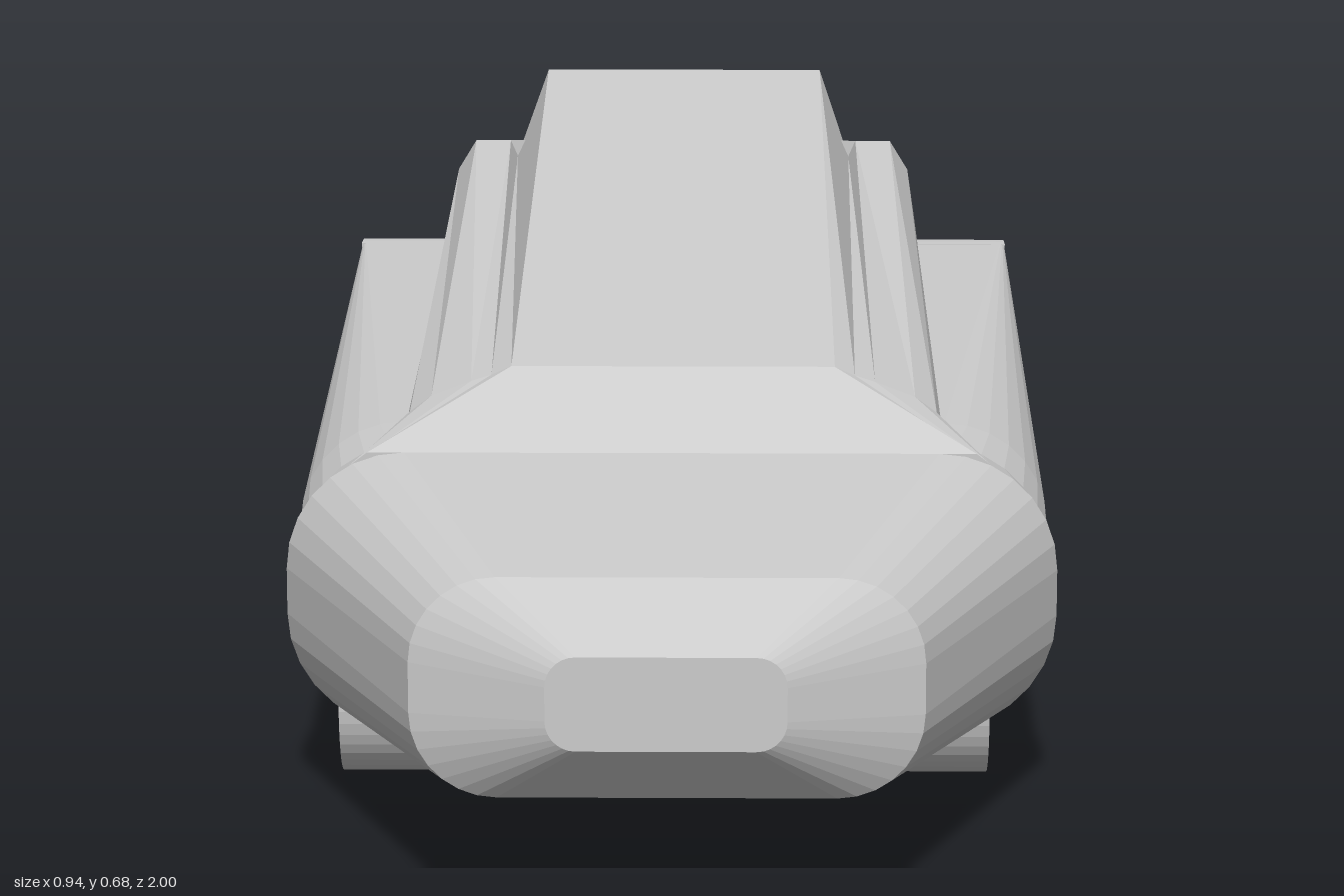
import * as THREE from 'three';

const grey = new THREE.MeshStandardMaterial({ color: 0xcccccc, flatShading: true });

// Skins mirrored half outlines (bottom to top, x > 0), ordered from back to front.
function loft(name, halves) {
  const rings = halves.map(h => [...h, ...h.slice().reverse().map(([x, y, z]) => [-x, y, z])]);
  const n = rings[0].length, index = [];
  for (let k = 0; k < rings.length - 1; k++) {
    for (let i = 0; i < n; i++) {
      const a = k * n + i, b = k * n + (i + 1) % n;
      index.push(a, b, a + n, b, b + n, a + n);
    }
  }
  // End caps run in strips from one side to the other.
  const front = (rings.length - 1) * n;
  for (let i = 0; i < n / 2 - 1; i++) {
    const a = i, b = i + 1, c = n - 2 - i, d = n - 1 - i;
    index.push(a, c, b, a, d, c);
    index.push(front + a, front + b, front + c, front + a, front + c, front + d);
  }
  const geo = new THREE.BufferGeometry();
  geo.setAttribute('position', new THREE.Float32BufferAttribute(rings.flat(2), 3));
  geo.setIndex(index);
  const flat = geo.toNonIndexed();
  flat.computeVertexNormals();
  const mesh = new THREE.Mesh(flat, grey);
  mesh.name = name;
  return mesh;
}

// Right half of a rounded rectangle at depth z.
function roundedHalf(z, halfWidth, y0, y1, r, steps = 7) {
  const pts = [];
  for (const [cy, start] of [[y0 + r, -Math.PI / 2], [y1 - r, 0]]) {
    for (let i = 0; i <= steps; i++) {
      const t = start + (i / steps) * Math.PI / 2;
      pts.push([halfWidth - r + r * Math.cos(t), cy + r * Math.sin(t), z]);
    }
  }
  return pts;
}

// Extrudes a side profile, drawn with x pointing to the rear, across the width.
function acrossWidth(name, shape, x0, x1) {
  const geo = new THREE.ExtrudeGeometry(shape, { depth: x1 - x0, bevelEnabled: false, curveSegments: 10 });
  geo.rotateY(Math.PI / 2).translate(x0, 0, 0);
  const mesh = new THREE.Mesh(geo, grey);
  mesh.name = name;
  return mesh;
}

export function createModel() {
  const group = new THREE.Group();
  group.name = 'vehicle';

  // Hull: square at the rear, rounded towards the tapered nose
  group.add(loft('hull', [
    roundedHalf(-0.86, 0.47, 0.06, 0.447, 0.006),
    roundedHalf(0.3, 0.468, 0.106, 0.433, 0.13),
    roundedHalf(0.4, 0.465, 0.104, 0.431, 0.15),
    roundedHalf(0.49, 0.47, 0.09, 0.437, 0.145),
    roundedHalf(0.93, 0.295, 0.133, 0.393, 0.1),
    roundedHalf(1, 0.137, 0.208, 0.318, 0.035),
  ]));

  // Rear: two rounded lips with a notch between them
  const rear = new THREE.Shape();
  rear.moveTo(0.84, 0.06);
  rear.lineTo(0.88, 0.06);
  rear.bezierCurveTo(0.94, 0.063, 0.99, 0.11, 1, 0.172);
  rear.lineTo(0.87, 0.215);
  rear.lineTo(0.87, 0.285);
  rear.lineTo(1, 0.33);
  rear.bezierCurveTo(0.99, 0.4, 0.94, 0.447, 0.86, 0.447);
  rear.lineTo(0.84, 0.447);
  group.add(acrossWidth('rearLips', rear, -0.47, 0.47));

  // Belly plate with rounded ends
  const belly = new THREE.Shape();
  belly.moveTo(-0.455, 0.12);
  belly.lineTo(-0.455, 0.1);
  belly.bezierCurveTo(-0.45, 0.045, -0.41, 0, -0.35, 0);
  belly.lineTo(0.81, 0);
  belly.bezierCurveTo(0.85, 0, 0.885, 0.025, 0.895, 0.07);
  belly.lineTo(0.87, 0.12);
  group.add(acrossWidth('bellyPlate', belly, -0.412, 0.392));

  // Upper deck: side bulges, rising centre with an overhanging tail, sloped front
  group.add(loft('upperDeck', [
    [[0.335, 0.4, -0.84], [0.335, 0.5, -0.832], [0.326, 0.56, -0.825], [0.3, 0.603, -0.82],
      [0.25, 0.603, -0.82], [0.24, 0.58, -0.82], [0.2, 0.683, -0.975]],
    [[0.335, 0.38, 0.34], [0.335, 0.425, 0.34], [0.327, 0.455, 0.34], [0.3, 0.475, 0.34],
      [0.25, 0.495, 0.345], [0.225, 0.503, 0.345], [0.2, 0.515, 0.35]],
    [[0.4, 0.35, 0.48], [0.4, 0.412, 0.49], [0.4, 0.412, 0.49], [0.4, 0.412, 0.49],
      [0.4, 0.414, 0.49], [0.4, 0.414, 0.49], [0.37, 0.437, 0.49]],
  ]));

  return group;
}
